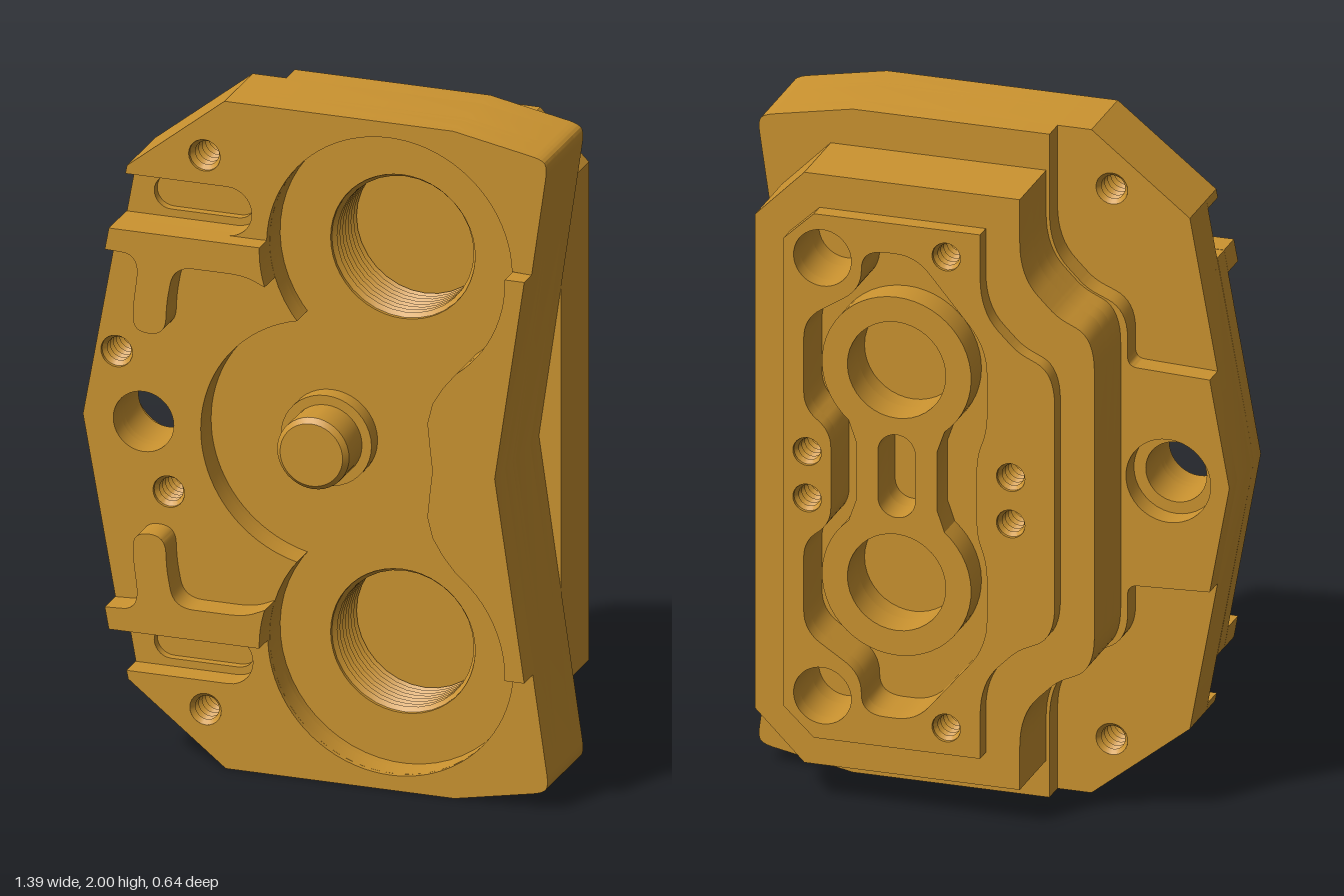
import * as THREE from 'three';
import { toCreasedNormals } from 'three/addons/utils/BufferGeometryUtils.js';

const brass = new THREE.MeshStandardMaterial({ color: 0xcc9430 });
brass.name = 'brass';

// Points on an arc (degrees)
function arc(cx, cy, r, a0, a1, n = 40) {
  const out = [];
  for (let i = 0; i <= n; i++) {
    const a = THREE.MathUtils.degToRad(a0 + ((a1 - a0) * i) / n);
    out.push([cx + r * Math.cos(a), cy + r * Math.sin(a)]);
  }
  return out;
}
const circle = (x, y, r, n = 40) => arc(x, y, r, 0, 360 - 360 / n, n - 1);
const flip = pts => pts.map(([x, y, r]) => [x, 2 - y, r]).reverse();
const both = pts => [...pts, ...flip(pts)];
const slot = (x0, x1, y, r) => [...arc(x1, y, r, -90, 90, 14), ...arc(x0, y, r, 90, 270, 14)];

// Polygon whose corners [x, y, r] are softened by cutting back a distance r
function soft(pts) {
  const out = [];
  pts.forEach(([x, y, r], i) => {
    if (!r) return out.push([x, y]);
    const p = new THREE.Vector2(x, y);
    const toward = q => {
      const d = new THREE.Vector2(q[0], q[1]).sub(p);
      return d.setLength(Math.min(r, d.length() * 0.49)).add(p);
    };
    const a = toward(pts[(i + pts.length - 1) % pts.length]);
    const b = toward(pts[(i + 1) % pts.length]);
    new THREE.QuadraticBezierCurve(a, p, b).getPoints(8).forEach(q => out.push([q.x, q.y]));
  });
  return out;
}

export function createModel() {
  const model = new THREE.Group();
  model.name = 'machinedHousing';
  const vec = pts => pts.map(([x, y]) => new THREE.Vector2(x, y));

  function add(name, geometry) {
    const mesh = new THREE.Mesh(geometry, brass);
    mesh.name = name;
    model.add(mesh);
    return mesh;
  }
  function slab(name, outline, holes, z0, z1) {
    const shape = new THREE.Shape(vec(outline));
    shape.holes = holes.map(h => new THREE.Path(vec(h)));
    const g = new THREE.ExtrudeGeometry(shape, { depth: z1 - z0, bevelEnabled: false });
    g.translate(0, 0, z0);
    add(name, toCreasedNormals(g, 0.45));
  }
  // Zigzag lining of a tapped hole
  function thread(name, x, y, r, depth, z0, z1, turns) {
    const prof = [];
    for (let i = 0; i <= turns * 2; i++) {
      prof.push(new THREE.Vector2(r - (i % 2 ? depth : 0), z1 + ((z0 - z1) * i) / (turns * 2)));
    }
    const g = new THREE.LatheGeometry(prof, 32);
    g.rotateX(Math.PI / 2);
    g.translate(x, y, 0);
    add(name, toCreasedNormals(g, 0.4));
  }

  // Front plate outline
  const rightSide = [[0.555, 1], [0.69, 1.93, 0.04], [0.67, 1.95, 0.03], [0.41, 2]];
  const plate = soft([...rightSide, [-0.27, 2], [-0.56, 1.77], [-0.7, 1],
    [-0.56, 0.23], [-0.27, 0], ...flip(rightSide).slice(0, 3)]);

  // Recess in the front: two round pockets joined by a middle one
  const waist = [[0.37, 0.8], [0.355, 0.86], [0.362, 0.93], [0.37, 1], [0.362, 1.07], [0.355, 1.14], [0.37, 1.2], [0.4, 1.25]];
  const recess = [...arc(0.22, 1.59, 0.365, -53, 215), ...arc(0.02, 1, 0.37, 103, 257),
    ...arc(0.22, 0.41, 0.365, 145, 413), [0.4, 0.75], ...waist];

  const bores = [circle(0.22, 1.59, 0.215, 48), circle(0.22, 0.41, 0.215, 48)];
  const through = circle(-0.52, 1, 0.09);
  const frontScrews = [[-0.33, 1.83], [-0.33, 0.17], [-0.6, 1.2], [-0.445, 0.8]];
  const screwHoles = frontScrews.map(([x, y]) => circle(x, y, 0.047, 24));
  const longSlots = [slot(-0.46, -0.26, 1.672, 0.05), slot(-0.46, -0.26, 0.328, 0.05)];

  // Rear layer of the plate, cut away on one side around a drilled lug
  const cutEdge = [[-0.17, 2], [-0.17, 1.66, 0.1], [-0.28, 1.55, 0.03], [-0.4, 1.5, 0.1], [-0.4, 1.33, 0.03], [-0.642, 1.32]];
  const rearOutline = soft([...rightSide, ...cutEdge, [-0.7, 1], ...flip(cutEdge), ...flip(rightSide).slice(0, 3)]);
  slab('plateRear', rearOutline, [...bores, circle(-0.52, 1, 0.125)], -0.04, 0.03);
  slab('plateCore', plate, [...bores, through, ...screwHoles], 0.03, 0.15);
  slab('plateRecessed', plate, [recess, through, ...screwHoles, ...longSlots], 0.15, 0.175);

  // Plate layer with side channels
  const channel = [[-0.565, 1.745], ...arc(-0.262, 1.672, 0.073, 90, -90, 14), [-0.592, 1.599]];
  const notched = soft([...rightSide, [-0.27, 2], [-0.56, 1.77], ...channel, [-0.7, 1], ...flip(channel),
    [-0.56, 0.23], [-0.27, 0], ...flip(rightSide).slice(0, 3)]);
  slab('plateFace', notched, [recess, through, ...screwHoles], 0.175, 0.235);

  // End caps, ribs and side strip standing on the plate face
  const cap = soft([[0.643, 1.6], ...rightSide.slice(1), [-0.27, 2], [-0.56, 1.77], ...channel.slice(0, -1),
    [-0.145, 1.6], ...arc(0.22, 1.59, 0.365, 178, 2)]);
  const rib = soft([[-0.592, 1.6], ...arc(0.22, 1.59, 0.365, 178.5, 197, 8), [-0.19, 1.51, 0.05],
    [-0.4, 1.51, 0.06], [-0.42, 1.4, 0.03], [-0.425, 1.3, 0.05], [-0.52, 1.3, 0.05], [-0.52, 1.38, 0.03],
    [-0.5, 1.53, 0.08], [-0.604, 1.535]]);
  slab('endCap', cap, [screwHoles[0]], 0.235, 0.26);
  slab('endCap', flip(cap), [screwHoles[1]], 0.235, 0.25);
  slab('rib', rib, [], 0.235, 0.32);
  slab('rib', flip(rib), [], 0.235, 0.32);
  slab('sideStrip', [[0.643, 1.6], [0.585, 1.6], ...arc(0.22, 1.59, 0.365, 0, -53, 12), ...waist.slice().reverse(),
    [0.4, 0.75], ...arc(0.22, 0.41, 0.365, 53, 0, 12), [0.585, 0.4], [0.643, 0.4], [0.555, 1]], [], 0.235, 0.32);

  // Tapped holes in the front
  for (const y of [1.59, 0.41]) thread('boreThread', 0.22, y, 0.215, 0.012, -0.04, 0.14, 8);
  frontScrews.forEach(([x, y], i) => thread('screwThread', x, y, 0.047, 0.012, 0.03, i < 2 ? 0.25 : 0.225, 8));

  // Central pin with collar
  const pin = new THREE.LatheGeometry(vec([[0.135, 0.15], [0.135, 0.2], [0.107, 0.2], [0.107, 0.305], [0.093, 0.32], [0, 0.32]]), 40);
  pin.rotateX(Math.PI / 2);
  pin.translate(0.01, 1, 0);
  add('centrePin', toCreasedNormals(pin, 0.45));

  // Rear block and its raised face
  const block = soft(both([[0.62, 1.745], [0.475, 1.89], [-0.16, 1.89], [-0.16, 1.66, 0.1],
    [-0.27, 1.55, 0.03], [-0.38, 1.5, 0.1]]));
  const face = soft(both([[0.52, 1.705], [0.43, 1.79], [-0.06, 1.79], [-0.06, 1.56, 0.1],
    [-0.17, 1.45, 0.03], [-0.28, 1.4, 0.1]]));
  const pocket = soft(both([[0.38, 1.14, 0.05], [0.46, 1.2, 0.05], [0.46, 1.47, 0.06], [0.29, 1.58, 0.06],
    [0.29, 1.7, 0.07], [0.13, 1.7, 0.06], [-0.08, 1.45, 0.08], [-0.08, 1.2, 0.05], [-0.05, 1.12, 0.04]]));
  const rearScrews = [[0.04, 1.71], [0.04, 0.29], [0.45, 1.07], [0.45, 0.93], [-0.15, 1.07], [-0.15, 0.93]];
  const rearHoles = [circle(0.405, 1.66, 0.085), circle(0.405, 0.34, 0.085),
    ...rearScrews.map(([x, y]) => circle(x, y, 0.042, 24))];
  const ports = [circle(0.21, 1.32, 0.145), circle(0.21, 0.68, 0.145),
    [...arc(0.21, 1.07, 0.055, 0, 180, 14), ...arc(0.21, 0.93, 0.055, 180, 360, 14)]];
  slab('blockBase', block, [], -0.1, -0.04);
  slab('blockFloor', block, [...rearHoles, ...ports], -0.16, -0.1);
  slab('blockWall', block, [...rearHoles, pocket], -0.27, -0.16);
  slab('rearFace', face, [...rearHoles, pocket], -0.32, -0.27);
  rearScrews.forEach(([x, y]) => thread('rearScrewThread', x, y, 0.042, 0.01, -0.31, -0.1, 8));

  // Twin ring island inside the rear pocket
  slab('portIsland', [...arc(0.21, 1.32, 0.22, -50, 230), [0.09, 1.09], [0.09, 0.91],
    ...arc(0.21, 0.68, 0.22, 130, 410), [0.33, 0.91], [0.33, 1.09]], ports, -0.25, -0.16);

  // The zigzag linings are seen from inside
  model.traverse(o => {
    if (!o.isMesh || !/Thread$/.test(o.name)) return;
    o.material = threadMaterial;
  });
  return model;
}

const threadMaterial = brass.clone();
threadMaterial.name = 'brassThread';
threadMaterial.side = THREE.DoubleSide;
